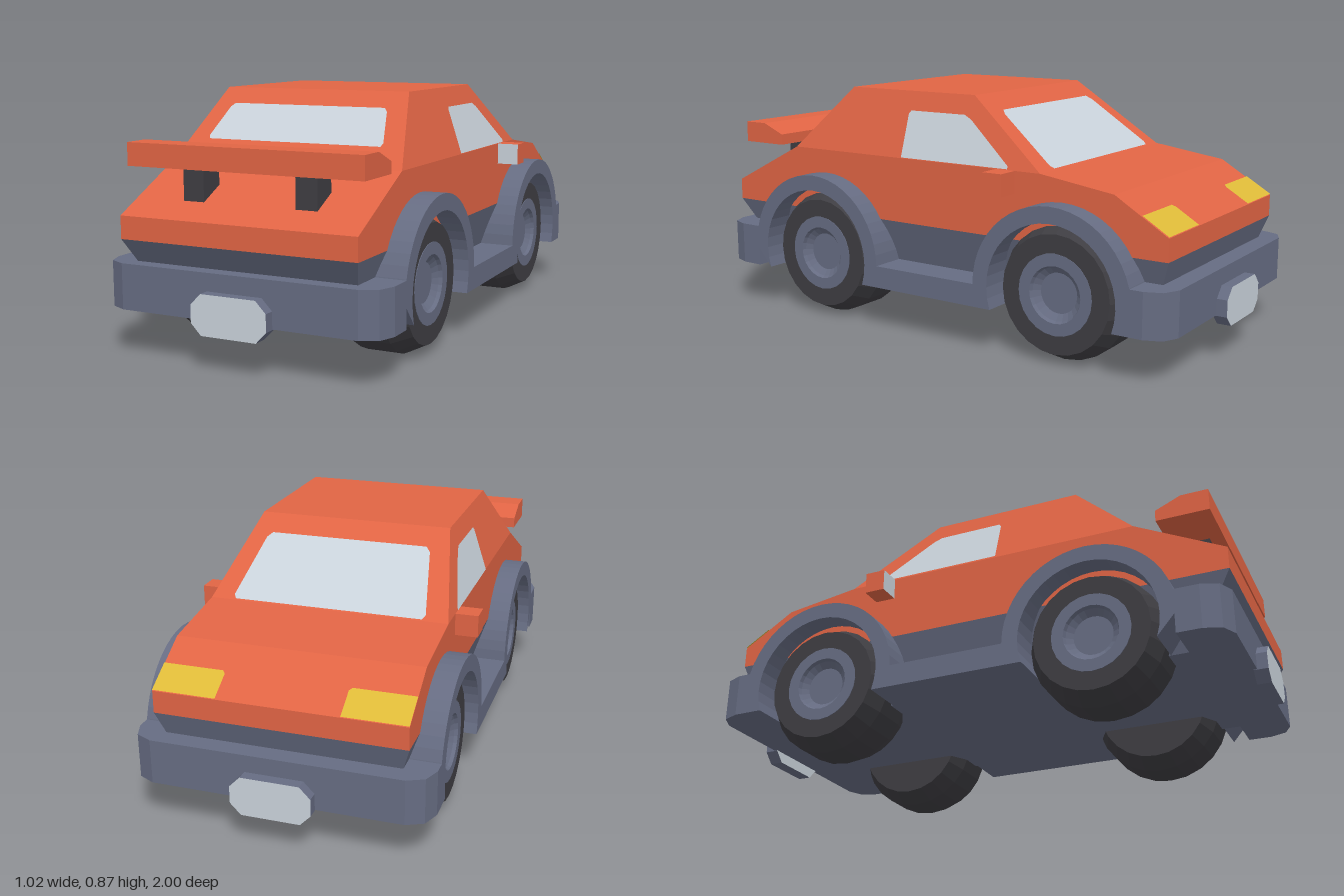
import * as THREE from 'three';

export function createModel() {
  const car = new THREE.Group();
  car.name = 'sportsCar';

  const mat = (name, color) => {
    const m = new THREE.MeshStandardMaterial({ color });
    m.name = name;
    return m;
  };
  const orange = mat('orangePaint', 0xe06444);
  const grey = mat('greyTrim', 0x666c82);
  const dark = mat('darkRubber', 0x3e3d42);
  const glass = mat('paleGlass', 0xc9d2da);
  const yellow = mat('yellowLamp', 0xdeba38);
  glass.side = yellow.side = THREE.DoubleSide;

  const add = (name, geometry, material, parent = car) => {
    const mesh = new THREE.Mesh(geometry, material);
    mesh.name = name;
    parent.add(mesh);
    return mesh;
  };
  const flat = (g) => {
    const f = g.index ? g.toNonIndexed() : g;
    f.computeVertexNormals();
    return f;
  };
  const polygon = (pts) => new THREE.Shape(pts.map(([a, b]) => new THREE.Vector2(a, b)));

  // Side outline (drawn in -z, y) extruded from x0 to x1
  const extrudeX = (shape, x0, x1) =>
    new THREE.ExtrudeGeometry(shape, { depth: x1 - x0, bevelEnabled: false, curveSegments: 12 })
      .translate(0, 0, x0)
      .rotateY(Math.PI / 2);

  // Tapered block between two rectangles: [y, half width, back z, front z]
  const frustum = (bottom, top) => {
    const g = new THREE.BoxGeometry(1, 1, 1);
    const p = g.attributes.position;
    for (let i = 0; i < p.count; i++) {
      const [y, w, zMin, zMax] = p.getY(i) > 0 ? top : bottom;
      p.setXYZ(i, Math.sign(p.getX(i)) * w, y, p.getZ(i) > 0 ? zMax : zMin);
    }
    return flat(g);
  };

  // Thin painted face lifted slightly off the bodywork
  const panel = (name, pts, outward, material) => {
    const v = pts.map((p) => new THREE.Vector3(...p));
    const out = new THREE.Vector3(...outward);
    const normal = v[1].clone().sub(v[0]).cross(v[2].clone().sub(v[0])).normalize();
    if (normal.dot(out) < 0) {
      v.reverse();
      normal.negate();
    }
    v.forEach((p) => p.addScaledVector(normal, 0.004));
    const tris = [];
    for (let i = 1; i < v.length - 1; i++) tris.push(v[0], v[i], v[i + 1]);
    const g = new THREE.BufferGeometry().setFromPoints(tris);
    g.computeVertexNormals();
    return add(name, g, material);
  };

  // Painted body and cabin
  const bodyOutline = [
    [-0.96, 0.395], [0.92, 0.395], [0.92, 0.473], [0.727, 0.59],
    [0.45, 0.63], [-0.647, 0.63], [-0.96, 0.473],
  ];
  add('body', extrudeX(polygon(bodyOutline), -0.43, 0.43), orange);
  add('cabin', frustum([0.63, 0.43, -0.45, 0.647], [0.865, 0.353, -0.134, 0.417]), orange);

  // Tapered underbody
  add('underbody', frustum([0.16, 0.355, -0.84, 0.81], [0.395, 0.43, -0.92, 0.96]), grey);

  // Sills with wheel arches, one per side
  const wheelZ = [0.497, -0.535];
  const hubY = 0.24, archR = 0.303, wellR = 0.246;
  const dip = Math.asin((hubY - 0.16) / wellR);
  const sill = new THREE.Shape();
  sill.moveTo(-0.8, 0.16);
  for (const z of wheelZ) sill.absarc(-z, hubY, archR, Math.PI, 0, true);
  sill.lineTo(0.838, 0.16);
  for (const z of [...wheelZ].reverse()) sill.absarc(-z, hubY, wellR, -dip, Math.PI + dip, false);
  add('leftSill', extrudeX(sill, 0.34, 0.51), grey);
  add('rightSill', extrudeX(sill, -0.51, -0.34), grey);

  // Bumpers with rounded corners, and number plates
  const plateOutline = polygon([
    [-0.137, 0.158], [-0.1, 0.12], [0.1, 0.12], [0.137, 0.158],
    [0.137, 0.217], [0.1, 0.255], [-0.1, 0.255], [-0.137, 0.217],
  ]);
  const half = [[0.51, 0.79], [0.51, 0.875], [0.487, 0.935], [0.43, 0.962]];
  const bumperOutline = polygon([...half, ...half.map(([x, z]) => [-x, z]).reverse()]);
  for (const [end, turn] of [['spoilerEnd', 0], ['bonnetEnd', Math.PI]]) {
    const bumper = new THREE.ExtrudeGeometry(bumperOutline, { depth: 0.155, bevelEnabled: false })
      .rotateX(-Math.PI / 2)
      .rotateY(Math.PI + turn)
      .translate(0, 0.16, 0);
    add(end + 'Bumper', bumper, grey);
    const plate = new THREE.ExtrudeGeometry(plateOutline, { depth: 0.05, bevelEnabled: false })
      .translate(0, 0, 0.95)
      .rotateY(turn);
    add(end + 'Plate', plate, [glass, grey]);
  }

  // Wheels: chamfered tyre and recessed hub
  const lathe = (pts) =>
    flat(new THREE.LatheGeometry(pts.map(([r, x]) => new THREE.Vector2(r, x)), 24)).rotateZ(-Math.PI / 2);
  const tyre = lathe([[0, -0.135], [0.205, -0.135], [0.24, -0.065], [0.24, 0.065], [0.205, 0.135], [0.138, 0.135], [0.138, 0.12]]);
  const hub = lathe([[0.14, 0.12], [0.14, 0.137], [0.098, 0.137], [0.092, 0.125], [0.07, 0.108], [0, 0.108]]);
  for (const z of wheelZ) {
    for (const side of [1, -1]) {
      const wheel = new THREE.Group();
      wheel.name = (side > 0 ? 'left' : 'right') + (z > 0 ? 'SpoilerEnd' : 'BonnetEnd') + 'Wheel';
      add('tyre', tyre, dark, wheel);
      add('hub', hub, grey, wheel);
      wheel.position.set(side * 0.335, hubY, z);
      if (side < 0) wheel.rotation.y = Math.PI;
      car.add(wheel);
    }
  }

  // Spoiler
  const wing = [[-0.914, 0.63], [-0.727, 0.63], [-0.727, 0.67], [-0.818, 0.708], [-0.914, 0.708]];
  add('spoilerWing', extrudeX(polygon(wing), -0.43, 0.43), orange);

  // Windows across the cabin, following the sloping glass planes
  const mirrorX = (pts) => [...pts, ...pts.map(([x, y, z]) => [-x, y, z]).reverse()];
  const tailZ = (y) => 0.647 - (0.23 * (y - 0.63)) / 0.235;
  const bonnetZ = (y) => -0.45 + (0.316 * (y - 0.63)) / 0.235;
  const screen = (pts, zAt) => mirrorX(pts.map(([x, y]) => [x, y, zAt(y)]));
  panel('tailWindow', screen([[0.327, 0.693], [0.333, 0.703], [0.303, 0.798], [0.29, 0.81]], tailZ), [0, 1, 1], glass);
  panel('windscreen', screen([[0.338, 0.632], [0.348, 0.642], [0.305, 0.797], [0.288, 0.81]], bonnetZ), [0, 1, -1], glass);

  const sideWindow = [
    [0.134, 0.632], [0.134, 0.785], [0.125, 0.796], [-0.11, 0.796],
    [-0.14, 0.782], [-0.322, 0.642], [-0.322, 0.632],
  ];
  const slopeX = (y) => 0.43 - (0.077 * (y - 0.63)) / 0.235;
  const bonnetY = (z) => 0.473 + (0.117 * (z + 0.92)) / 0.193;
  const lamp = [[0.43, -0.919], [0.43, -0.825], [0.22, -0.825], [0.21, -0.835], [0.21, -0.919]];

  // Mirrored details
  for (const s of [1, -1]) {
    const side = s > 0 ? 'left' : 'right';
    panel(side + 'Window', sideWindow.map(([z, y]) => [s * slopeX(y), y, z]), [s, 0, 0], glass);
    panel(side + 'Headlight', lamp.map(([x, z]) => [s * x, bonnetY(z), z]), [0, 1, 0], yellow);
    add(side + 'SpoilerStrut', new THREE.BoxGeometry(0.077, 0.15, 0.091), dark).position.set(s * 0.207, 0.56, 0.82);
    // Door mirror with a pale face looking toward the spoiler
    add(side + 'Mirror', new THREE.BoxGeometry(0.1, 0.078, 0.075), [orange, orange, orange, orange, glass, orange])
      .position.set(s * 0.46, 0.591, -0.312);
  }

  return car;
}
